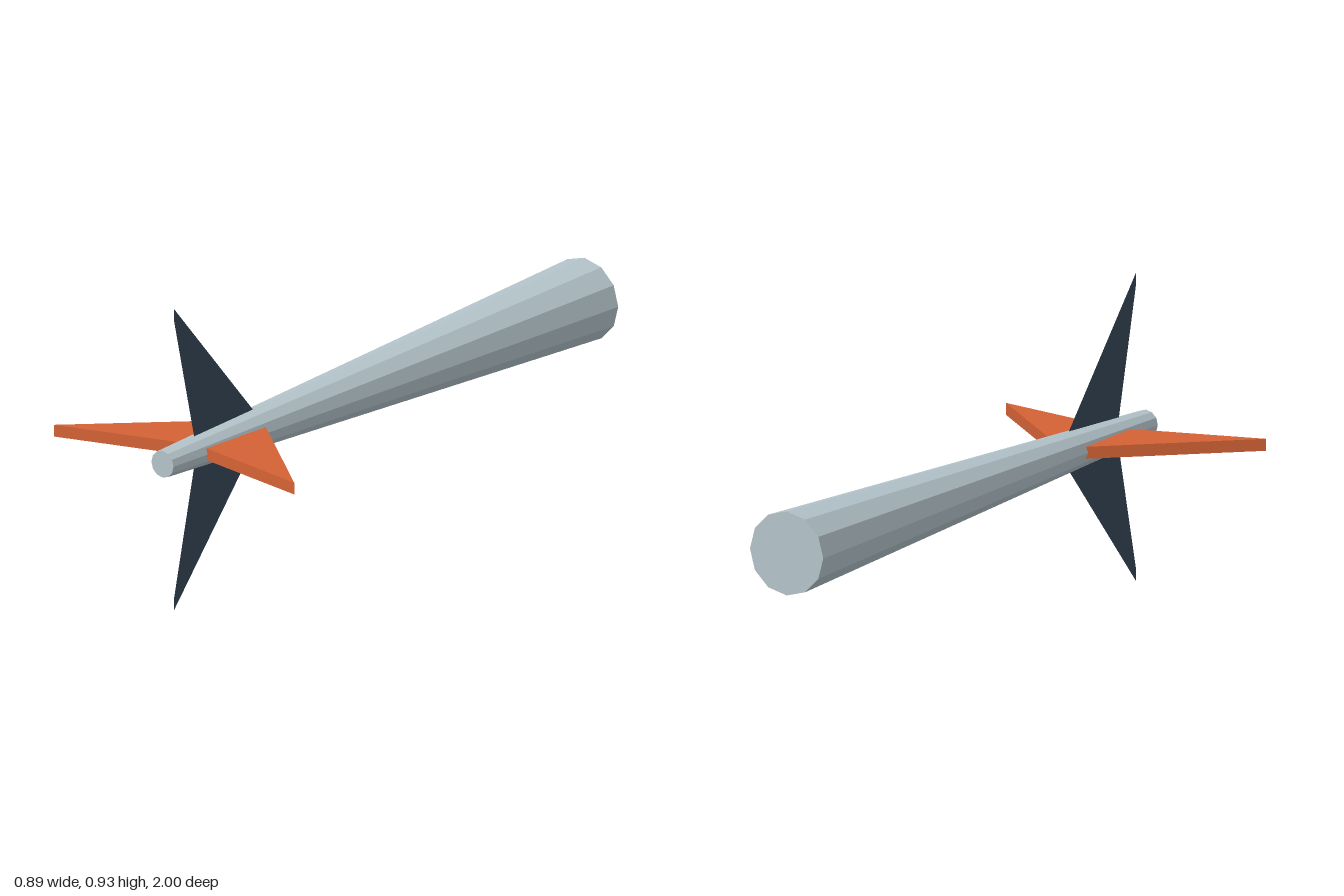
import * as THREE from 'three';

const AXIS_Y = 0.467;

export function createModel() {
  const model = new THREE.Group();
  const grey = new THREE.MeshStandardMaterial({ color: 0xb4c4ca, flatShading: true });
  grey.name = 'light grey';
  const orange = new THREE.MeshStandardMaterial({ color: 0xd46235, flatShading: true });
  orange.name = 'orange';
  const navy = new THREE.MeshStandardMaterial({ color: 0x364656, side: THREE.DoubleSide });
  navy.name = 'dark slate';

  const add = (name, geometry, material) => {
    const mesh = new THREE.Mesh(geometry, material);
    mesh.name = name;
    model.add(mesh);
    return mesh;
  };
  const outline = points => new THREE.Shape(points.map(p => new THREE.Vector2(...p)));

  // Tapered twelve-sided body, narrow end at the front
  const body = new THREE.CylinderGeometry(0.041, 0.126, 2, 12);
  body.rotateX(Math.PI / 2);
  add('body', body, grey).position.y = AXIS_Y;

  for (const side of [1, -1]) {
    // Thick swept side fin, drawn in x/z and extruded through its height
    const points = [[0.01, 0.538], [0.447, 0.945], [0.01, 0.838]];
    const fin = new THREE.ExtrudeGeometry(
      outline(points.map(([x, z]) => [side * x, z])),
      { depth: 0.036, bevelEnabled: false });
    fin.rotateX(Math.PI / 2);
    add(side > 0 ? 'leftFin' : 'rightFin', fin, orange).position.y = AXIS_Y + 0.018;

    // Paper-thin swept vertical fin with a short blunt tip, drawn in z/y
    const plate = new THREE.ShapeGeometry(outline(
      [[0.535, 0.02], [0.945, 0.463], [0.945, 0.427], [0.838, 0]].map(([z, y]) => [-z, side * y])));
    plate.rotateY(Math.PI / 2);
    add(side > 0 ? 'upperFin' : 'lowerFin', plate, navy).position.y = AXIS_Y;
  }
  return model;
}
